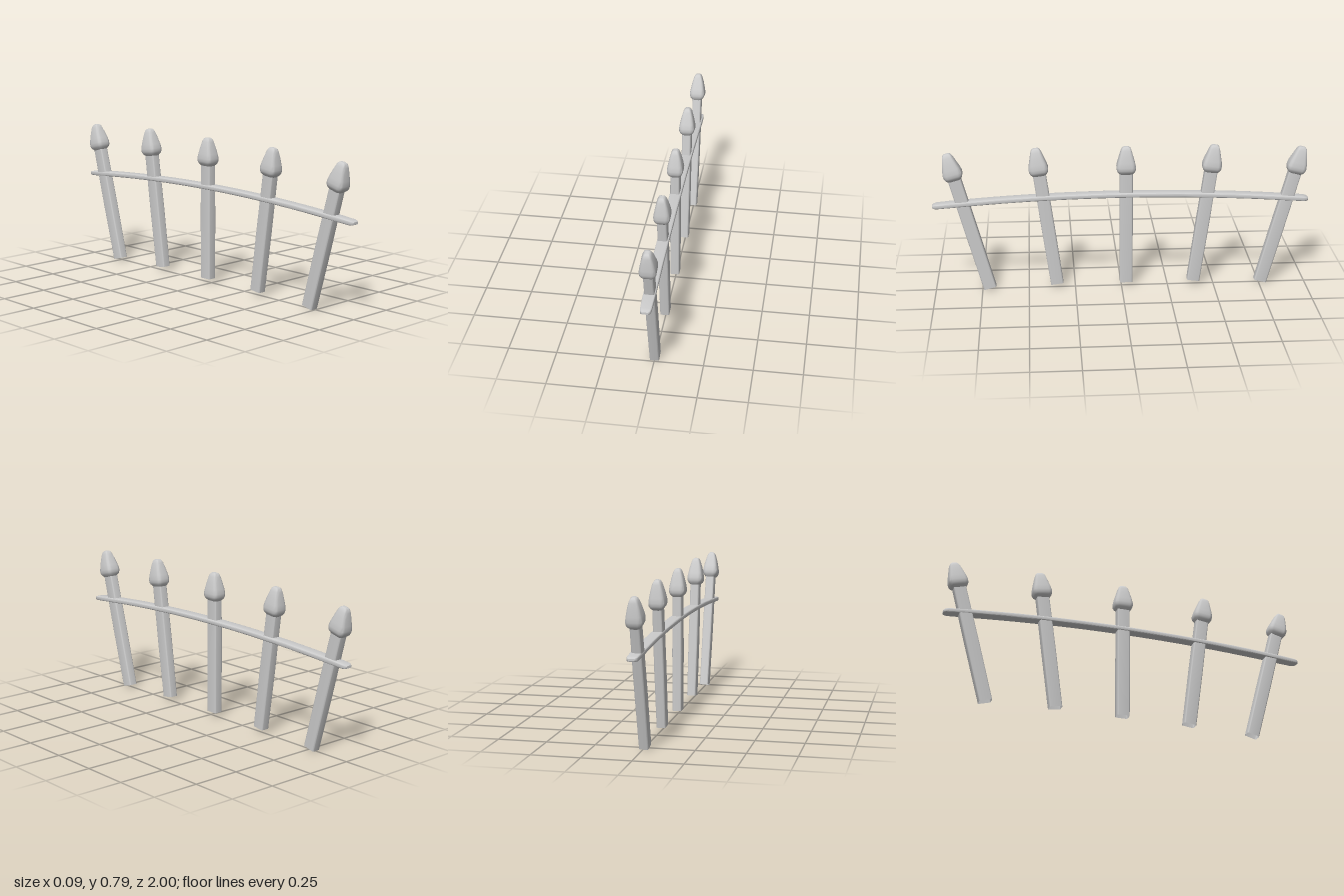
import * as THREE from 'three';
import { toCreasedNormals } from 'three/addons/utils/BufferGeometryUtils.js';

const material = new THREE.MeshStandardMaterial({ color: 0xcccccc, side: THREE.DoubleSide });

// Rounded rectangle outline, counter-clockwise, half sizes w and h
function outline(w, h, round) {
  const points = [], r = Math.min(w, h) * round;
  const corners = [[1, 1], [-1, 1], [-1, -1], [1, -1]];
  corners.forEach(([sx, sy], c) => {
    for (let i = 0; i <= 3; i++) {
      const a = (c + i / 3) * Math.PI / 2;
      points.push([sx * (w - r) + r * Math.cos(a), sy * (h - r) + r * Math.sin(a)]);
    }
  });
  return points;
}

// Skin along +z through sections [z, halfWidth, halfHeight, yOffset]
function loft(sections, round, capStart, capEnd) {
  const pos = [], index = [], n = 16;
  sections.forEach(([z, w, h, y = 0]) => {
    outline(w, h, round).forEach(([px, py]) => pos.push(px, py + y, z));
  });
  for (let s = 0; s < sections.length - 1; s++) {
    for (let i = 0; i < n; i++) {
      const a = s * n + i, b = s * n + (i + 1) % n;
      index.push(a, b, b + n, a, b + n, a + n);
    }
  }
  const last = (sections.length - 1) * n;
  for (let i = 1; i < n - 1; i++) {
    if (capStart) index.push(0, i + 1, i);
    if (capEnd) index.push(last, last + i, last + i + 1);
  }
  const geometry = new THREE.BufferGeometry();
  geometry.setAttribute('position', new THREE.Float32BufferAttribute(pos, 3));
  geometry.setIndex(index);
  return toCreasedNormals(geometry, 0.7);
}

function addMesh(parent, name, geometry) {
  const mesh = new THREE.Mesh(geometry, material);
  mesh.name = name;
  parent.add(mesh);
}

// One leaning post: open-bottomed shaft and a blunt spear head
function createPost(length) {
  const post = new THREE.Group();
  const neck = length - 0.145;
  const shaft = loft([
    [0, 0.024, 0.034], [neck * 0.5, 0.0255, 0.035], [neck + 0.01, 0.024, 0.034],
  ], 0.3, false, false).rotateX(-Math.PI / 2);
  addMesh(post, 'shaft', shaft);

  const profile = [
    [0.15, 0.024, 0.034], [0.138, 0.036, 0.045], [0.126, 0.041, 0.05], [0.11, 0.042, 0.051],
    [0.085, 0.038, 0.046], [0.05, 0.031, 0.036], [0.022, 0.023, 0.028],
    [0.008, 0.017, 0.022], [0.002, 0.011, 0.015], [0, 0.005, 0.007],
  ];
  const head = loft(profile.map(([d, w, h]) => [length - d, w, h]), 0.5, true, true)
    .rotateX(-Math.PI / 2);
  addMesh(post, 'spearHead', head);
  return post;
}

export function createModel() {
  const model = new THREE.Group();
  model.name = 'fence';

  // Posts fan outward: foot z, foot y, tip z, tip y, x offset
  const posts = [
    [0.71, 0.01, 0.915, 0.77, 0],
    [0.348, 0.025, 0.452, 0.79, -0.002],
    [-0.025, 0.025, -0.025, 0.79, -0.003],
    [-0.39, 0.025, -0.495, 0.79, -0.003],
    [-0.758, 0.01, -0.962, 0.77, -0.004],
  ];
  posts.forEach(([footZ, footY, tipZ, tipY, x], i) => {
    const post = createPost(Math.hypot(tipZ - footZ, tipY - footY));
    post.name = 'post' + (i + 1);
    post.position.set(x, footY, footZ);
    post.rotation.x = Math.atan2(tipZ - footZ, tipY - footY);
    model.add(post);
  });

  // Gently arched rail with rounded ends
  const arch = z => 0.526 - 0.045 * z * z;
  const sections = [];
  const section = (z, w, h) => sections.push([z, w, h, arch(z)]);
  section(-1, 0.016, 0.006);
  section(-0.992, 0.024, 0.01);
  section(-0.975, 0.028, 0.012);
  for (let i = -9; i <= 9; i++) section(i / 10, 0.03, 0.0125);
  section(0.975, 0.028, 0.012);
  section(0.992, 0.024, 0.01);
  section(1, 0.016, 0.006);
  addMesh(model, 'rail', loft(sections, 0.5, true, true));

  return model;
}
